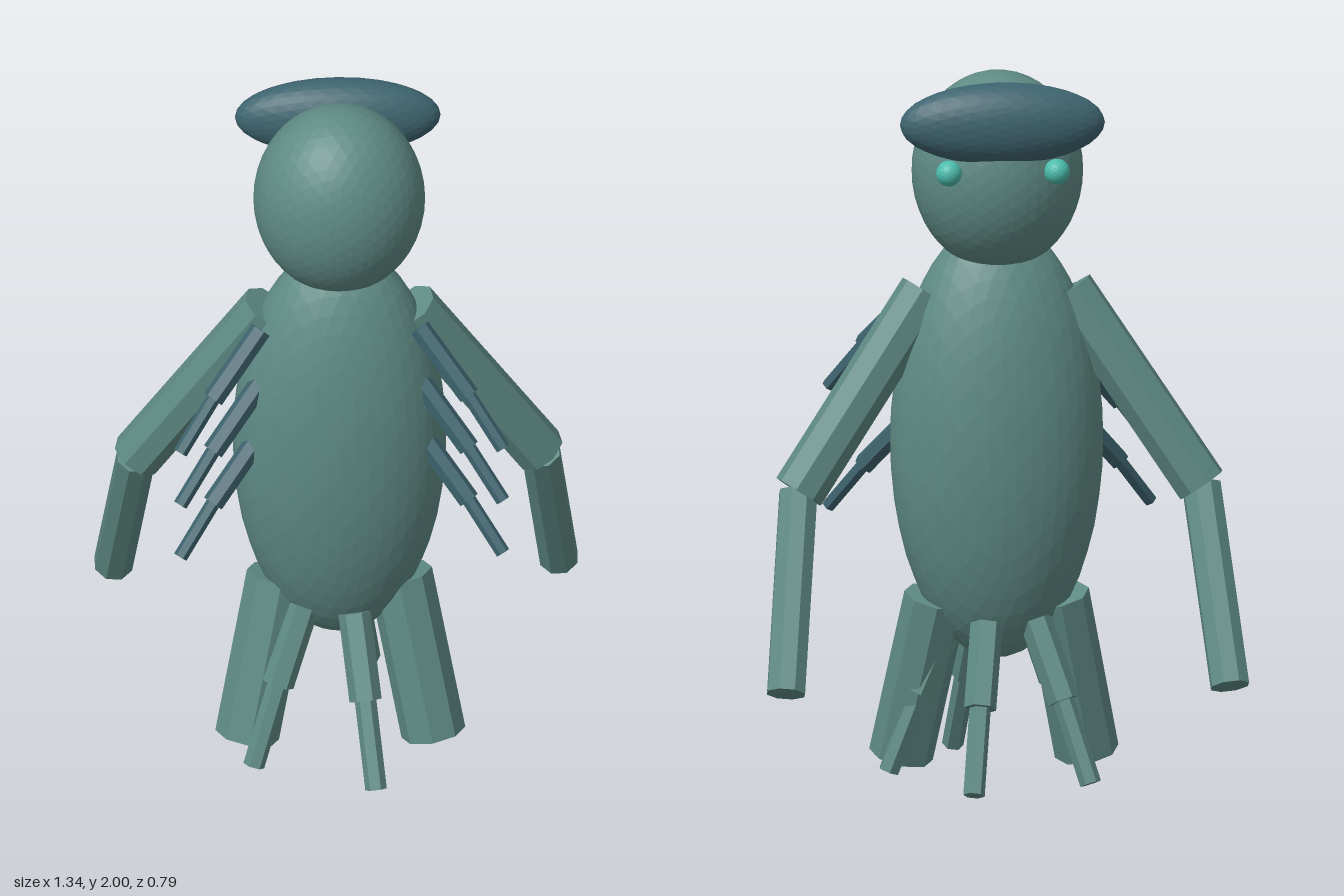
import * as THREE from 'three';

const skin = new THREE.MeshStandardMaterial({ color: 0x5f8a84, flatShading: true });
skin.name = 'skin';
const dark = new THREE.MeshStandardMaterial({ color: 0x3e646f, flatShading: true });
dark.name = 'dark shell';
const eye = new THREE.MeshStandardMaterial({ color: 0x4cbcac, flatShading: true });
eye.name = 'eye';

export function createModel() {
  const model = new THREE.Group();
  model.name = 'creature';

  // Faceted ellipsoid with given centre and half sizes
  function ellipsoid(name, centre, half, material, detail) {
    const mesh = new THREE.Mesh(new THREE.IcosahedronGeometry(1, detail).scale(...half), material);
    mesh.position.set(...centre);
    mesh.name = name;
    model.add(mesh);
  }

  // Straight prism between two points
  function rod(name, a, b, radius, sides, material) {
    const from = new THREE.Vector3(...a);
    const dir = new THREE.Vector3(...b).sub(from);
    const mesh = new THREE.Mesh(new THREE.CylinderGeometry(radius, radius, dir.length(), sides), material);
    mesh.position.copy(from).addScaledVector(dir, 0.5);
    mesh.quaternion.setFromUnitVectors(new THREE.Vector3(0, 1, 0), dir.normalize());
    mesh.name = name;
    model.add(mesh);
  }

  // Body, head and crest
  ellipsoid('body', [0, 0.955, 0.022], [0.296, 0.62, 0.213], skin, 7);
  ellipsoid('head', [0, 1.72, 0], [0.238, 0.28, 0.217], skin, 7);
  ellipsoid('crest', [0, 1.885, -0.165], [0.285, 0.115, 0.084], dark, 5);

  for (const [side, s] of [['left', 1], ['right', -1]]) {
    ellipsoid(side + 'Eye', [s * 0.15, 1.75, -0.184], [0.036, 0.036, 0.036], eye, 3);

    // Large arms
    const elbow = [s * 0.56, 0.835, -0.085];
    rod(side + 'UpperArm', [s * 0.2, 1.375, 0.015], elbow, 0.073, 8, skin);
    rod(side + 'Forearm', elbow, [s * 0.617, 0.32, -0.35], 0.056, 8, skin);

    // Three small arms in a column
    for (let i = 0; i < 3; i++) {
      const y = -0.17 * i;
      const joint = [s * 0.355, 1.19 + y, 0.195];
      rod(side + 'SmallUpperArm', [s * 0.22, 1.355 + y, 0.1], joint, 0.03, 6, dark);
      rod(side + 'SmallForearm', joint, [s * 0.447, 1.06 + y, 0.265], 0.02, 6, dark);
    }

    // Thick legs
    rod(side + 'ThickLeg', [s * 0.168, 0.51, 0.022], [s * 0.258, 0.045, 0.115], 0.09, 8, skin);
  }

  // Ring of five jointed thin legs
  for (let i = 0; i < 5; i++) {
    const angle = (i * Math.PI * 2) / 5;
    const at = (rx, y, rz) => [rx * Math.cos(angle), y, 0.02 + rz * Math.sin(angle)];
    const knee = at(0.215, 0.24, 0.25);
    rod('thinUpperLeg', at(0.125, 0.455, 0.13), knee, 0.045, 6, skin);
    rod('thinLowerLeg', knee, at(0.3, 0.018, 0.366), 0.03, 6, skin);
  }

  return model;
}
